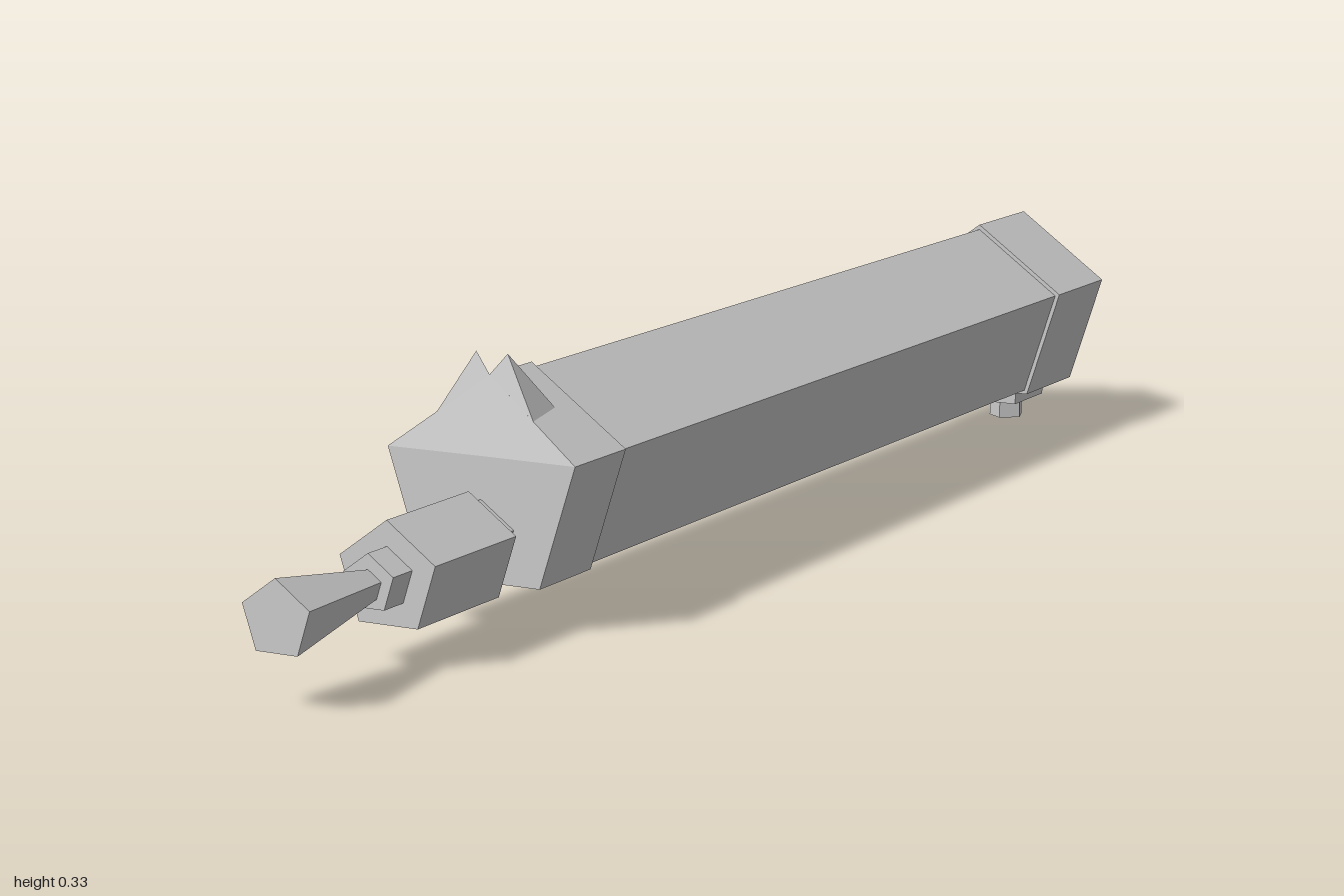
import * as THREE from 'three';

const mat = new THREE.MeshStandardMaterial({ color: 0xcccccc, flatShading: true });
const matDouble = new THREE.MeshStandardMaterial({ color: 0xcccccc, flatShading: true, side: THREE.DoubleSide });

export function createModel() {
  const group = new THREE.Group();

  const add = (name, geometry, material = mat) => {
    const mesh = new THREE.Mesh(geometry, material);
    mesh.name = name;
    group.add(mesh);
    return mesh;
  };

  // Five-sided prism along z with one corner pointing up
  const prism = (rBack, rFront, z0, z1, cy) =>
    new THREE.CylinderGeometry(rBack, rFront, z1 - z0, 5)
      .rotateX(-Math.PI / 2)
      .translate(0, cy, (z0 + z1) / 2);

  // Moves every vertex by a rule
  const reshape = (geometry, rule) => {
    const p = geometry.attributes.position;
    const v = new THREE.Vector3();
    for (let i = 0; i < p.count; i++) {
      v.fromBufferAttribute(p, i);
      rule(v);
      p.setXYZ(i, v.x, v.y, v.z);
    }
    geometry.computeVertexNormals();
    return geometry;
  };

  const CY = 0.169;
  const isCentre = (v) => Math.abs(v.x) < 0.001 && Math.abs(v.y - CY) < 0.001;

  // Main tube
  add('body', prism(0.131, 0.131, -0.85, 0.46, CY));

  // Front collar: the upper part of its face leans back
  add('frontCollar', reshape(prism(0.138, 0.138, 0.45, 0.57, CY), (v) => {
    if (v.z < 0.56) return;
    if (isCentre(v)) v.y = 0.212;
    else if (v.y > 0.3) v.z = 0.547;
  }));

  // Rear collar with a pyramid-shaped hollow in its end
  add('rearCollar', reshape(prism(0.138, 0.138, -1, -0.84, CY), (v) => {
    if (v.z < -0.99 && isCentre(v)) v.z = -0.92;
  }));

  // Pair of pointed sight horns
  for (const [side, name] of [[1, 'leftHorn'], [-1, 'rightHorn']]) {
    const outer = [0.068 * side, 0.257, 0.559];
    const inner = [0, 0.307, 0.547];
    const back = [0.06 * side, 0.263, 0.495];
    const tip = [0.022 * side, 0.333, 0.541];
    const faces = [[outer, tip, inner], [outer, back, tip], [inner, tip, back]];
    const g = new THREE.BufferGeometry();
    g.setAttribute('position', new THREE.Float32BufferAttribute(faces.flat(2), 3));
    g.computeVertexNormals();
    add(name, g, matDouble);
  }

  // Muzzle: neck, block, small neck and flared tip
  add('muzzleNeck', prism(0.048, 0.048, 0.56, 0.61, 0.111));
  add('muzzleBlock', prism(0.069, 0.069, 0.597, 0.775, 0.105));
  add('tipNeck', prism(0.036, 0.036, 0.77, 0.815, 0.107));
  add('flaredTip', prism(0.018, 0.0475, 0.81, 1, 0.105));

  // Carrying loop under the body
  const loop = new THREE.Shape([[-0.05, 0.068], [-0.05, 0.045], [-0.038, 0.035],
    [0.038, 0.035], [0.05, 0.045], [0.05, 0.068]].map(([x, y]) => new THREE.Vector2(x, y)));
  loop.holes.push(new THREE.Path([[-0.042, 0.067], [-0.042, 0.049], [-0.034, 0.043],
    [0.034, 0.043], [0.042, 0.049], [0.042, 0.067]].map(([x, y]) => new THREE.Vector2(x, y))));
  const loopGeometry = new THREE.ExtrudeGeometry(loop, { depth: 0.016, bevelEnabled: false });
  add('carryLoop', loopGeometry.translate(0, 0, -0.008).rotateY(Math.PI / 2).translate(0, 0, -0.495), matDouble);

  // Open tray below the rear collar
  const box = (name, w, h, d, x, y, z) => add(name, new THREE.BoxGeometry(w, h, d).translate(x, y, z));
  box('trayFloor', 0.08, 0.004, 0.1, 0, 0.032, -0.94);
  for (const side of [1, -1]) {
    box('traySide', 0.004, 0.074, 0.1, side * 0.038, 0.067, -0.94);
    box('trayFrontPost', 0.027, 0.02, 0.004, side * 0.0265, 0.04, -0.892);
  }
  box('trayFrontTop', 0.08, 0.058, 0.004, 0, 0.076, -0.892);
  box('trayBack', 0.08, 0.074, 0.004, 0, 0.067, -0.988);

  // Hollow five-sided stub under the tray
  add('stub', new THREE.CylinderGeometry(0.026, 0.026, 0.031, 5, 1, true).translate(0, 0.0155, -0.948), matDouble);

  return group;
}
